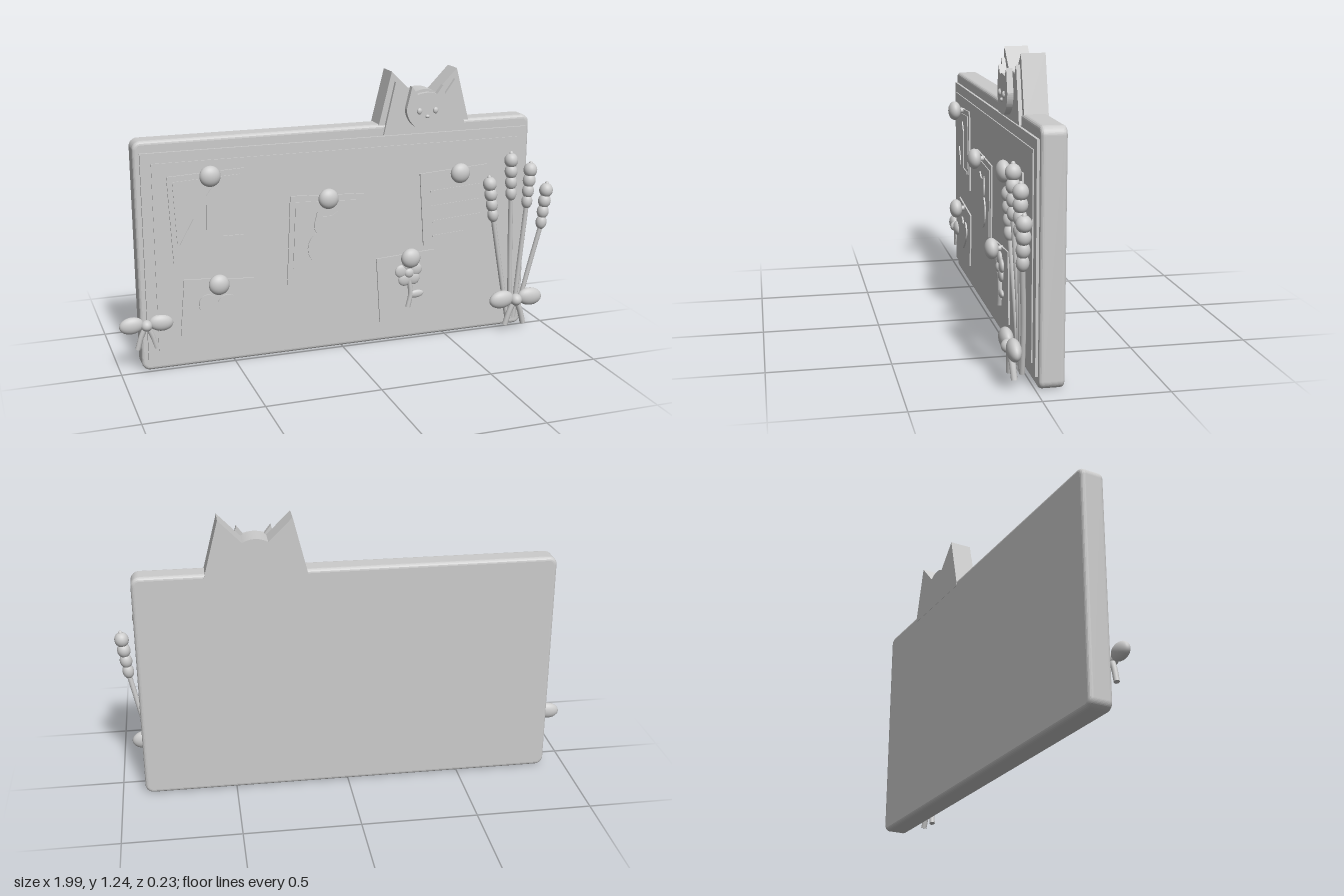
import * as THREE from 'three';

const grey = new THREE.MeshStandardMaterial({ color: 0xcccccc });
grey.name = 'lightGrey';

function add(parent, name, geometry, x = 0, y = 0, z = 0) {
  const m = new THREE.Mesh(geometry, grey);
  m.name = name;
  m.position.set(x, y, z);
  parent.add(m);
  return m;
}
const outline = (pts) => new THREE.Shape(pts.map(([x, y]) => new THREE.Vector2(x, y)));
const plate = (shape, depth) => new THREE.ExtrudeGeometry(shape, { depth, bevelEnabled: false, curveSegments: 20 });
const box = (w, h, d) => new THREE.BoxGeometry(w, h, d);

function ellipsoid(parent, name, rx, ry, rz, x, y, z) {
  const m = add(parent, name, new THREE.SphereGeometry(1, 24, 16), x, y, z);
  m.scale.set(rx, ry, rz);
  return m;
}

function roundedRect(w, h, r) {
  const s = new THREE.Shape(), a = w / 2, b = h / 2;
  s.absarc(a - r, b - r, r, 0, Math.PI / 2);
  s.absarc(-a + r, b - r, r, Math.PI / 2, Math.PI);
  s.absarc(-a + r, -b + r, r, Math.PI, Math.PI * 1.5);
  s.absarc(a - r, -b + r, r, Math.PI * 1.5, Math.PI * 2);
  return s;
}

function tube(parent, name, pts, r) {
  const curve = new THREE.CatmullRomCurve3(pts.map((p) => new THREE.Vector3(...p)));
  add(parent, name, new THREE.TubeGeometry(curve, 10, r, 10));
  // closed ends
  for (const t of [0, 1]) {
    const cap = add(parent, name + 'End', new THREE.CircleGeometry(r, 10));
    cap.position.copy(curve.getPoint(t));
    cap.quaternion.setFromUnitVectors(new THREE.Vector3(0, 0, 1), curve.getTangent(t).multiplyScalar(t ? 1 : -1));
  }
}

// Two-eared outline with a gentle arch between the ears
function earShape(base, x0, x1, tip, tx0, tx1, dip, dx0, dx1) {
  const s = new THREE.Shape();
  s.moveTo(x0, base);
  s.lineTo(x1, base);
  s.lineTo(tx1, tip);
  s.lineTo(dx1, dip);
  s.quadraticCurveTo((dx0 + dx1) / 2, dip + 0.03, dx0, dip);
  s.lineTo(tx0, tip);
  return s;
}

function photo(parent, name, x, y, w, h, degrees, inner) {
  const g = new THREE.Group();
  g.name = name;
  g.position.set(x, y, 0);
  g.rotation.z = THREE.MathUtils.degToRad(degrees);
  parent.add(g);
  add(g, 'paper', box(w, h, 0.008), 0, 0, 0.008);
  if (inner) add(g, 'picture', box(inner[0], inner[1], 0.004), 0, inner[2], 0.014);
  return g;
}

function bow(parent, name, x, y, z, s) {
  const g = new THREE.Group();
  g.name = name;
  g.position.set(x, y, z);
  g.scale.set(s, s, s);
  parent.add(g);
  for (const side of [-1, 1]) {
    const loop = ellipsoid(g, 'bowLoop', 0.06, 0.042, 0.028, side * 0.072, 0.007, 0);
    loop.rotation.z = -side * 0.1;
    tube(g, 'bowTail', [[side * 0.006, -0.01, 0], [side * 0.028, -0.06, -0.004], [side * 0.046, -0.122, -0.008]], 0.013);
  }
  ellipsoid(g, 'bowKnot', 0.028, 0.028, 0.03, 0, 0, 0.005);
}

export function createModel() {
  const root = new THREE.Group();
  root.name = 'noticeBoard';

  // Board with softened edges
  const slab = new THREE.ExtrudeGeometry(roundedRect(1.776, 0.978, 0.02), {
    depth: 0.07, bevelThickness: 0.016, bevelSize: 0.016, bevelSegments: 4, curveSegments: 6,
  });
  add(root, 'board', slab, -0.003, 0.505, -0.097);
  add(root, 'rim', box(1.76, 0.91, 0.015), 0, 0.505, -0.0075);
  add(root, 'pinboard', box(1.67, 0.825, 0.012), 0, 0.503, -0.001);

  // Ears rising from the top edge, front panel and cat face
  add(root, 'ears', plate(earShape(0.98, 0.165, 0.605, 1.24, 0.23, 0.537, 1.14, 0.332, 0.44), 0.098), 0, 0, -0.114);
  add(root, 'earPanel', plate(earShape(0.965, 0.19, 0.58, 1.195, 0.243, 0.523, 1.1, 0.31, 0.455), 0.016), 0, 0, -0.016);

  const face = new THREE.Group();
  face.name = 'catFace';
  face.position.set(0.383, 1.078, 0);
  root.add(face);
  const head = new THREE.Shape();
  head.moveTo(-0.096, 0.01);
  head.absarc(0, 0, 0.097, Math.PI, Math.PI * 2);
  head.lineTo(0.073, 0.097);
  head.lineTo(0.045, 0.06);
  head.quadraticCurveTo(0, 0.075, -0.045, 0.06);
  head.lineTo(-0.073, 0.097);
  add(face, 'head', plate(head, 0.025));
  for (const side of [-1, 1]) ellipsoid(face, 'eye', 0.012, 0.014, 0.008, side * 0.038, -0.012, 0.027);
  ellipsoid(face, 'nose', 0.01, 0.008, 0.008, 0, -0.037, 0.027);

  // Landscape photo
  const view = photo(root, 'landscapePhoto', -0.6, 0.676, 0.333, 0.377, 2.6, [0.29, 0.28, 0.025]);
  add(view, 'castle', plate(outline([[-0.14, -0.113], [0.14, -0.113], [0.14, -0.1], [0.048, -0.095], [0.055, 0.085], [0.024, 0.128],
    [-0.008, 0.09], [-0.02, -0.088], [-0.07, -0.003], [-0.135, -0.108]]), 0.006), 0, 0, 0.015);

  // Cat photo
  const cat = photo(root, 'catPhoto', -0.083, 0.52, 0.337, 0.403, -2.6, [0.29, 0.3, 0.025]);
  const sitting = new THREE.Shape();
  sitting.absarc(0, -0.035, 0.083, Math.PI * 0.68, Math.PI * 2.32);
  sitting.absarc(0, 0.068, 0.058, -Math.PI * 0.28, Math.PI * 0.12);
  sitting.lineTo(0.047, 0.128);
  sitting.lineTo(0.02, 0.108);
  sitting.lineTo(-0.02, 0.108);
  sitting.lineTo(-0.047, 0.128);
  sitting.absarc(0, 0.068, 0.058, Math.PI * 0.88, Math.PI * 1.28);
  add(cat, 'sittingCat', plate(sitting, 0.007), 0, 0, 0.015);

  // Heart photo
  const love = photo(root, 'heartPhoto', -0.575, 0.264, 0.307, 0.255, -5, null);
  const heart = new THREE.Shape();
  heart.moveTo(0, -0.09);
  heart.bezierCurveTo(-0.04, -0.06, -0.085, -0.02, -0.083, 0.02);
  heart.bezierCurveTo(-0.08, 0.07, -0.015, 0.07, 0, 0.025);
  heart.bezierCurveTo(0.015, 0.07, 0.08, 0.07, 0.083, 0.02);
  heart.bezierCurveTo(0.085, -0.02, 0.04, -0.06, 0, -0.09);
  add(love, 'heart', plate(heart, 0.008), 0, 0, 0.011);

  // Flower photo
  const flower = photo(root, 'flowerPhoto', 0.305, 0.26, 0.28, 0.305, 3.6, null);
  tube(flower, 'stem', [[0.008, 0.04, 0.018], [0.012, -0.04, 0.018], [-0.004, -0.1, 0.018]], 0.011);
  for (let i = 0; i < 5; i++) {
    const a = Math.PI / 2 + i * Math.PI * 0.4;
    ellipsoid(flower, 'petal', 0.03, 0.03, 0.012, 0.008 + 0.037 * Math.cos(a), 0.065 + 0.037 * Math.sin(a), 0.018);
  }
  ellipsoid(flower, 'flowerCentre', 0.023, 0.023, 0.015, 0.008, 0.065, 0.022);
  ellipsoid(flower, 'leaf', 0.035, 0.018, 0.01, 0.04, -0.042, 0.02);

  // Written note
  const note = photo(root, 'note', 0.537, 0.622, 0.333, 0.337, 3.8, null);
  for (let i = 0; i < 4; i++) add(note, 'noteLine', box(i === 3 ? 0.16 : 0.24, 0.008, 0.004), i === 3 ? -0.04 : 0, 0.08 - i * 0.07, 0.013);

  // Round pins
  for (const [x, y] of [[-0.6, 0.857], [-0.083, 0.715], [-0.575, 0.379], [0.536, 0.779], [0.304, 0.405]]) {
    ellipsoid(root, 'pin', 0.045, 0.045, 0.03, x, y, 0.053);
    const shank = add(root, 'pinShank', new THREE.CylinderGeometry(0.012, 0.012, 0.04, 12), x, y, 0.022);
    shank.rotation.x = Math.PI / 2;
  }

  // Wheat ears: base x, head bottom, head top
  const wheat = [[0.8, 0.703, 0.55, 0.676, 0.745], [0.815, 0.785, 0.645, 0.778, 0.85],
    [0.83, 0.868, 0.6, 0.883, 0.795], [0.845, 0.942, 0.495, 0.966, 0.695]];
  wheat.forEach(([bx, x0, y0, x1, y1], i) => {
    const stalk = new THREE.Group();
    stalk.name = 'wheat';
    root.add(stalk);
    const z = 0.06 + (i % 2) * 0.006;
    tube(stalk, 'wheatStem', [[bx, 0.055, 0.043], [(bx + x0) / 2, (0.055 + y0) / 2, 0.05], [x0, y0, z]], 0.011);
    const tilt = Math.atan2(x0 - x1, y1 - y0);
    for (let k = 0; k < 4; k++) {
      const t = (k + 0.45) / 4;
      const r = 0.025 + 0.002 * k;
      const grain = ellipsoid(stalk, 'grain', r, 0.034, r, x0 + (x1 - x0) * t, y0 + (y1 - y0) * t, z);
      grain.rotation.z = tilt;
    }
    ellipsoid(stalk, 'grainTip', 0.01, 0.015, 0.01, x1, y1, z);
  });

  // Ribbon bows
  bow(root, 'rightBow', 0.819, 0.16, 0.085, 1);
  bow(root, 'leftBow', -0.884, 0.213, 0.0, 0.88);

  return root;
}
